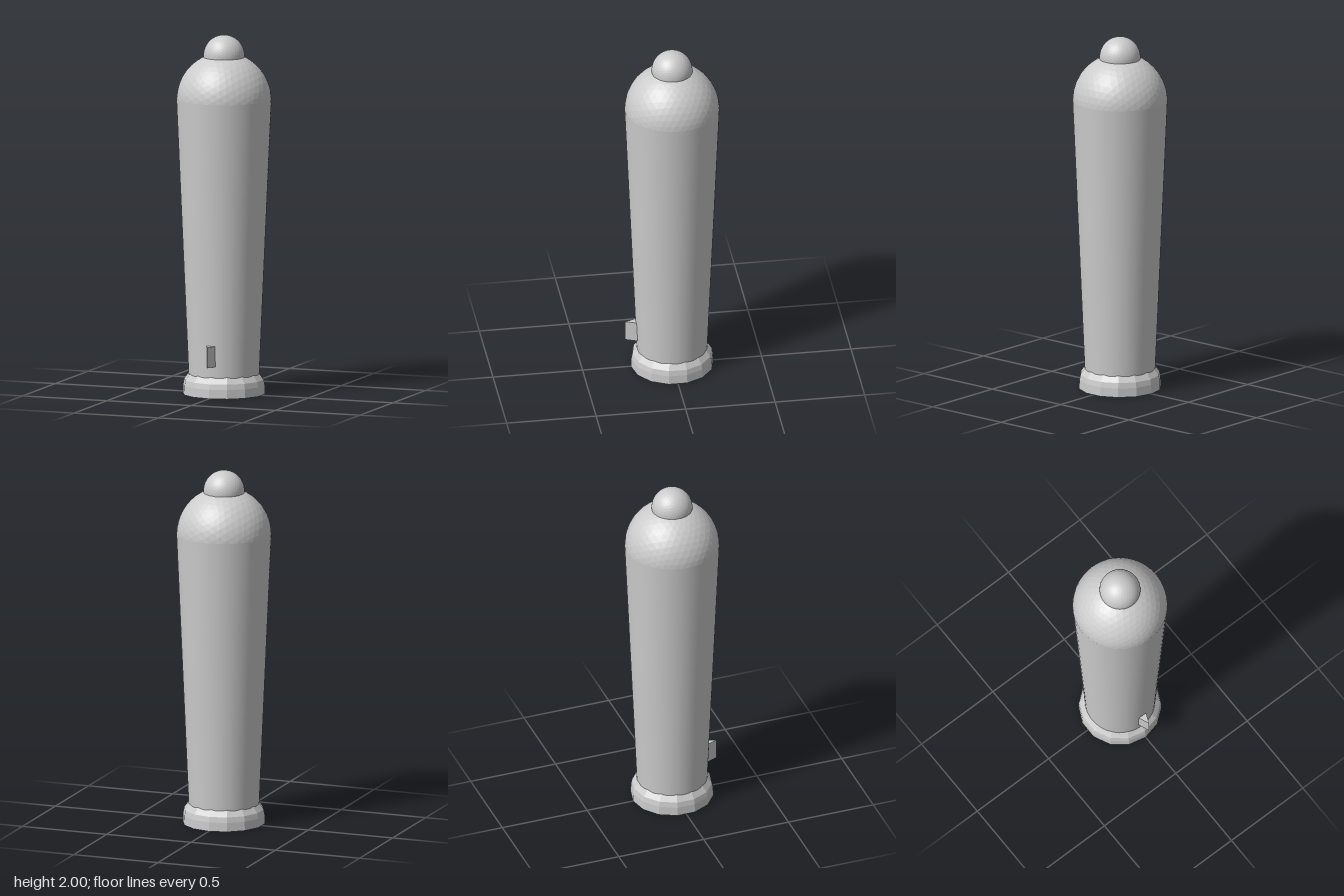
import * as THREE from 'three';

const smooth = new THREE.MeshStandardMaterial({ color: 0xcccccc });
const faceted = new THREE.MeshStandardMaterial({ color: 0xcccccc, flatShading: true });
const thin = new THREE.MeshStandardMaterial({ color: 0xcccccc, side: THREE.DoubleSide });

const COLLAR_SIDES = 14;
const SOCKET_R = 0.094;
const SOCKET_DEPTH = 0.5;

function part(name, geometry, material, y = 0) {
  const mesh = new THREE.Mesh(geometry, material);
  mesh.name = name;
  mesh.position.y = y;
  return mesh;
}

const profile = (...pts) => pts.map(([r, y]) => new THREE.Vector2(r, y));

// Flat ring under the collar, pierced by the round socket
function collarBase() {
  const shape = new THREE.Shape();
  for (let i = 0; i < COLLAR_SIDES; i++) {
    const a = (i / COLLAR_SIDES) * Math.PI * 2;
    const x = 0.23 * Math.sin(a), y = -0.23 * Math.cos(a);
    if (i === 0) shape.moveTo(x, y);
    else shape.lineTo(x, y);
  }
  shape.holes.push(new THREE.Path().absarc(0, 0, SOCKET_R, 0, Math.PI * 2, true));
  return new THREE.ShapeGeometry(shape, 24).rotateX(Math.PI / 2);
}

// Wedge with its sharp ridge pointing forward
function wedge() {
  const shape = new THREE.Shape();
  shape.moveTo(-0.025, -0.17);
  shape.lineTo(0.025, -0.17);
  shape.lineTo(0.025, -0.2);
  shape.lineTo(0, -0.262);
  shape.lineTo(-0.025, -0.2);
  return new THREE.ExtrudeGeometry(shape, { depth: 0.115, bevelEnabled: false })
    .rotateX(-Math.PI / 2);
}

export function createModel() {
  const model = new THREE.Group();
  model.name = 'taperedHandle';

  // Tapered body, widening upward to meet the dome
  model.add(part('body', new THREE.LatheGeometry(
    profile([0.192, 0.04], [0.263, 1.645], [0.255, 1.65]), 64), smooth));

  // Faceted dome and knob
  model.add(part('dome', new THREE.IcosahedronGeometry(0.262, 7), faceted, 1.64));
  model.add(part('knob', new THREE.IcosahedronGeometry(0.113, 7), faceted, 1.887));

  // Coarse collar with a sloping upper edge
  const collar = new THREE.Group();
  collar.name = 'collar';
  collar.add(part('collarRim', new THREE.LatheGeometry(
    profile([0.23, 0], [0.228, 0.05], [0.222, 0.08], [0.192, 0.12]), COLLAR_SIDES), faceted));
  collar.add(part('collarBase', collarBase(), thin));
  model.add(collar);

  // Blind socket bored up from below
  model.add(part('socketWall', new THREE.CylinderGeometry(
    SOCKET_R, SOCKET_R, SOCKET_DEPTH, 48, 1, true), thin, SOCKET_DEPTH / 2));
  model.add(part('socketEnd', new THREE.CircleGeometry(SOCKET_R, 48)
    .rotateX(Math.PI / 2), thin, SOCKET_DEPTH));

  // Small marker near the foot of the body
  model.add(part('frontWedge', wedge(), faceted, 0.175));

  return model;
}
